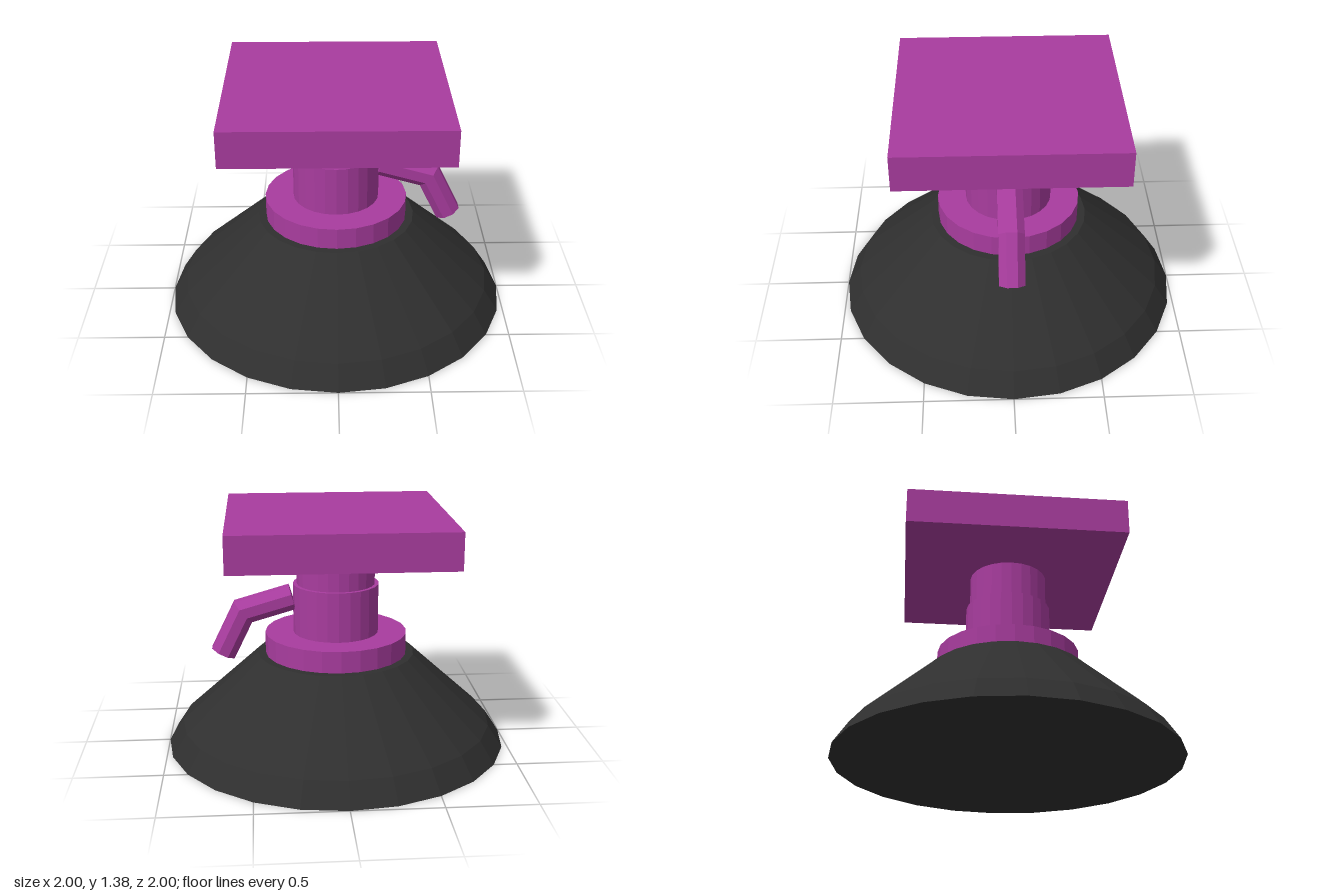
import * as THREE from 'three';

const purple = new THREE.MeshStandardMaterial({ color: 0xa83c9e, flatShading: true });
purple.name = 'purple';
const black = new THREE.MeshStandardMaterial({ color: 0x2f2f2f, flatShading: true });
black.name = 'black';

// Eight-sided bar along a bent path in the xy plane, with mitred corners and closed ends
function bentBar(path, radius, sides = 8) {
  const pts = path.map(([x, y]) => new THREE.Vector2(x, y));
  const positions = [];
  const index = [];
  pts.forEach((p, i) => {
    const before = i > 0 ? p.clone().sub(pts[i - 1]).normalize() : null;
    const after = i < pts.length - 1 ? pts[i + 1].clone().sub(p).normalize() : null;
    const a = before || after;
    const b = after || before;
    const tangent = a.clone().add(b).normalize();
    const stretch = radius / tangent.dot(a);
    for (let j = 0; j < sides; j++) {
      const t = ((j + 0.5) / sides) * Math.PI * 2;
      const side = Math.cos(t) * stretch;
      positions.push(p.x - tangent.y * side, p.y + tangent.x * side, Math.sin(t) * radius);
    }
  });
  for (let i = 0; i < pts.length - 1; i++) {
    for (let j = 0; j < sides; j++) {
      const k = (j + 1) % sides;
      const a = i * sides + j, b = i * sides + k, c = a + sides, d = b + sides;
      index.push(a, b, c, b, d, c);
    }
  }
  const last = (pts.length - 1) * sides;
  for (let j = 1; j < sides - 1; j++) {
    index.push(0, j + 1, j, last, last + j, last + j + 1);
  }
  const geometry = new THREE.BufferGeometry();
  geometry.setAttribute('position', new THREE.Float32BufferAttribute(positions, 3));
  geometry.setIndex(index);
  geometry.computeVertexNormals();
  return geometry;
}

export function createModel() {
  const group = new THREE.Group();
  const add = (name, geometry, material, y = 0) => {
    const mesh = new THREE.Mesh(geometry, material);
    mesh.name = name;
    mesh.position.y = y;
    group.add(mesh);
  };

  // Flared suction cup with a closed underside
  const profile = [[0, 0], [1, 0], [0.915, 0.13], [0.46, 0.545], [0, 0.545]];
  add('suctionCup', new THREE.LatheGeometry(profile.map(([x, y]) => new THREE.Vector2(x, y)), 24), black);

  // Stacked collar and post: name, radius, bottom, top
  const stack = [
    ['collar', 0.415, 0.54, 0.67],
    ['lowerPost', 0.25, 0.67, 0.96],
    ['upperPost', 0.228, 0.96, 1.17],
  ];
  for (const [name, r, y0, y1] of stack) {
    add(name, new THREE.CylinderGeometry(r, r, y1 - y0, 24), purple, (y0 + y1) / 2);
  }

  // Square mounting plate
  add('mountingPlate', new THREE.BoxGeometry(1.25, 0.21, 1.25), purple, 1.275);

  // Bent locking lever on the left
  add('lever', bentBar([[0.255, 0.88], [0.542, 0.797], [0.664, 0.548]], 0.078), purple);

  return group;
}
